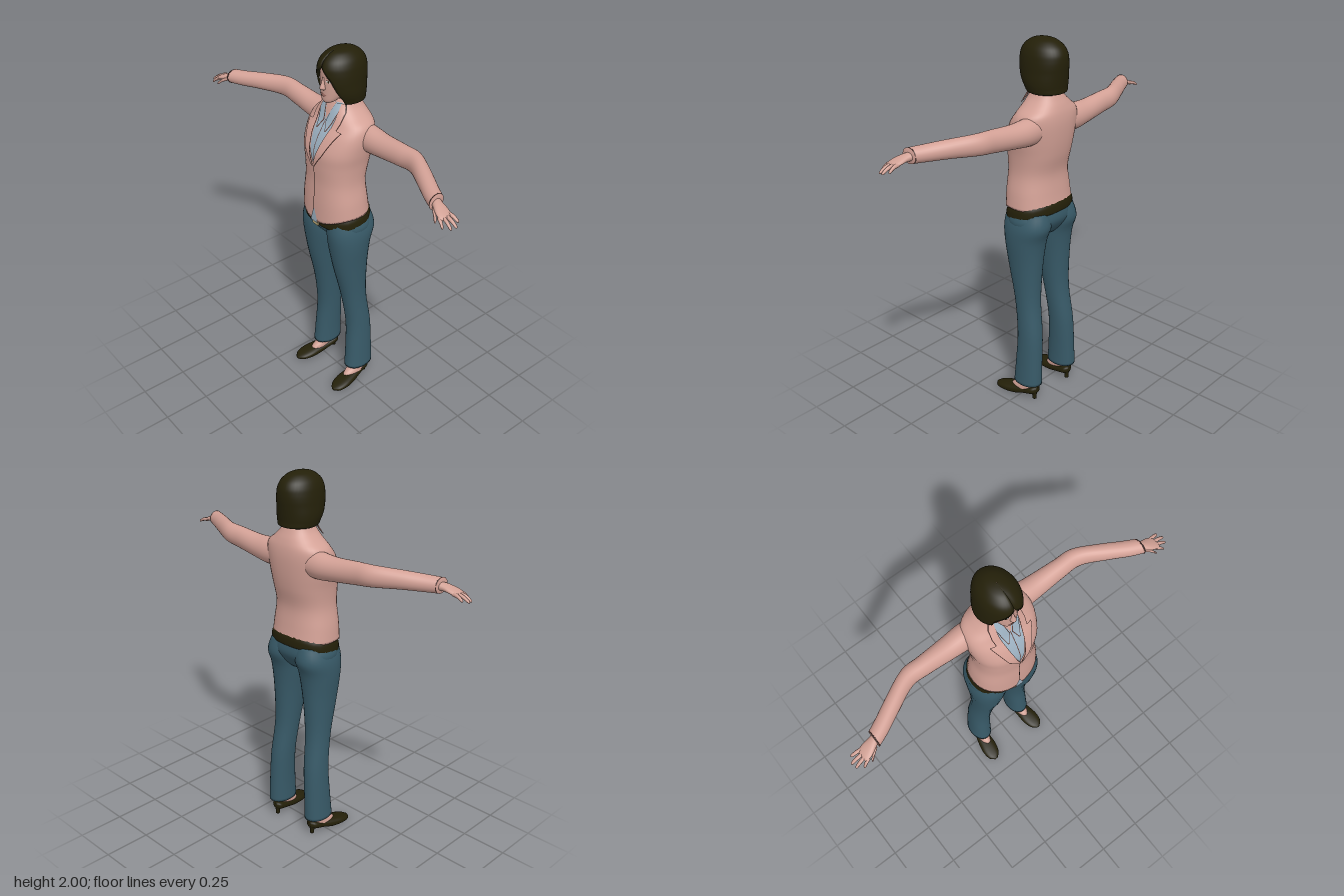
import * as THREE from 'three';

const paint = (name, color, side = THREE.FrontSide) => {
  const m = new THREE.MeshStandardMaterial({ color, side });
  m.name = name;
  return m;
};

// Smooth a short list of cross-sections into a dense one
function densify(rows, steps = 5) {
  const out = [];
  for (let i = 0; i < rows.length - 1; i++) {
    const a = rows[Math.max(0, i - 1)], b = rows[i], c = rows[i + 1], d = rows[Math.min(rows.length - 1, i + 2)];
    for (let s = 0; s < steps; s++) {
      const t = s / steps;
      out.push(b.map((v, k) => {
        const cubic = 3 * (v - c[k]) + d[k] - a[k];
        const square = 2 * a[k] - 5 * v + 4 * c[k] - d[k];
        return v + 0.5 * t * (c[k] - a[k] + t * (square + t * cubic));
      }));
    }
  }
  out.push(rows[rows.length - 1]);
  return out;
}

function build(pos, idx) {
  const g = new THREE.BufferGeometry();
  g.setAttribute('position', new THREE.Float32BufferAttribute(pos, 3));
  g.setIndex(idx);
  g.computeVertexNormals();
  return g;
}

const power = (v, p) => Math.sign(v) * Math.abs(v) ** (2 / p);

// Closed loft; row = [position on axis, centre 1, radius 1, centre 2, radius 2]
function loft(axis, rows, { n = 28, p = 2, bend = null } = {}) {
  const dense = densify(rows), pos = [], idx = [];
  const place = {
    y: (r, c, s) => [r[1] + r[2] * c, r[0], r[3] + r[4] * s],
    x: (r, c, s) => [r[0], r[1] + r[2] * c, r[3] - r[4] * s],
    z: (r, c, s) => [r[1] + r[2] * c, r[3] - r[4] * s, r[0]],
  }[axis];
  dense.forEach((r, i) => {
    for (let j = 0; j < n; j++) {
      const a = j / n * Math.PI * 2;
      const q = place(r, power(Math.cos(a), p), power(Math.sin(a), p));
      if (bend) bend(q, a);
      pos.push(...q);
      if (i < dense.length - 1) {
        const k = i * n + j, m = i * n + (j + 1) % n;
        idx.push(k, k + n, m, m, k + n, m + n);
      }
    }
  });
  const last = (dense.length - 1) * n, lo = dense.length * n;
  pos.push(...place(dense[0], 0, 0), ...place(dense[dense.length - 1], 0, 0));
  for (let j = 0; j < n; j++) {
    const k = (j + 1) % n;
    idx.push(lo, j, k, lo + 1, last + k, last + j);
  }
  return build(pos, idx);
}

// Thin plate lying on the front of an upright loft; row = [y, x from, x to]
function drape(body, p, rows, off) {
  const pos = [], idx = [], nx = 8, steps = 5;
  const lines = [];
  rows.slice(0, -1).forEach((r, i) => {
    for (let s = 0; s < steps; s++) lines.push(r.map((v, k) => v + (rows[i + 1][k] - v) * s / steps));
  });
  lines.push(rows[rows.length - 1]);
  lines.forEach(([y, x0, x1], i) => {
    let k = 0;
    while (k < body.length - 2 && body[k + 1][0] < y) k++;
    const t = THREE.MathUtils.clamp((y - body[k][0]) / (body[k + 1][0] - body[k][0]), 0, 1);
    const r = body[k].map((v, c) => v + (body[k + 1][c] - v) * t);
    for (let j = 0; j <= nx; j++) {
      const x = x0 + (x1 - x0) * j / nx;
      const u = Math.min(1, Math.abs(x) / (r[2] + off));
      pos.push(x, y, r[3] + (r[4] + off) * (1 - u ** p) ** (1 / p));
      if (i < lines.length - 1 && j < nx) {
        const a = i * (nx + 1) + j, b = a + nx + 1;
        idx.push(a, a + 1, b, a + 1, b + 1, b);
      }
    }
  });
  return build(pos, idx);
}

function mirrored(geo) {
  const g = geo.clone().scale(-1, 1, 1), ix = g.index;
  for (let i = 0; i < ix.count; i += 3) {
    const t = ix.getX(i);
    ix.setX(i, ix.getX(i + 1));
    ix.setX(i + 1, t);
  }
  g.computeVertexNormals();
  return g;
}

// Bob of hair, open at the face; row = [y, half width, centre z, half depth, left gap, right gap]
function hairShell(rows, n = 40) {
  const dense = densify(rows), pos = [], idx = [];
  dense.forEach(([y, rx, cz, rz, gl, gr], i) => {
    const from = Math.PI / 2 + Math.max(0, gr), to = Math.PI * 2.5 - Math.max(0, gl);
    for (let j = 0; j <= n; j++) {
      const t = THREE.MathUtils.clamp((j - 1) / (n - 2), 0, 1), a = from + (to - from) * t;
      const s = j === 0 || j === n ? 0.78 : 1;
      pos.push(rx * s * Math.cos(a), y, cz + rz * s * Math.sin(a));
      if (i < dense.length - 1 && j < n) {
        const k = i * (n + 1) + j, m = k + n + 1;
        idx.push(k, m, k + 1, k + 1, m, m + 1);
      }
    }
  });
  return build(pos, idx);
}

export function createModel() {
  const model = new THREE.Group();
  const skin = paint('skin', 0xd0a094), jacket = paint('jacket pink', 0xd3a196), denim = paint('trouser blue', 0x385a68);
  const shirt = paint('shirt blue', 0x9cb0c0), dark = paint('dark brown', 0x242009, THREE.DoubleSide);
  const seam = paint('seam', 0x5e403a), lip = paint('lips', 0xb57c72), white = paint('eye white', 0xd8d6d2), metal = paint('buckle', 0xb8a878);
  const add = (name, geo, mat) => {
    const m = new THREE.Mesh(geo, mat);
    m.name = name;
    model.add(m);
  };
  const both = (name, geo, mat) => {
    add(name + 'Left', geo, mat);
    add(name + 'Right', mirrored(geo), mat);
  };

  // Trousers
  add('trouserSeat', loft('y', [[0.975, 0, 0.09, -0.01, 0.07], [1.01, 0, 0.17, -0.005, 0.105], [1.06, 0, 0.196, -0.007, 0.13],
    [1.11, 0, 0.186, -0.004, 0.132], [1.17, 0, 0.165, 0, 0.12]], { p: 2.3 }), denim);
  both('trouserLeg', loft('y', [[0.1, 0.14, 0.061, -0.04, 0.085], [0.22, 0.136, 0.059, -0.044, 0.079], [0.4, 0.127, 0.06, -0.045, 0.071],
    [0.6, 0.115, 0.064, -0.02, 0.071], [0.8, 0.108, 0.08, 0, 0.095], [0.95, 0.103, 0.098, 0.004, 0.115],
    [1.04, 0.1, 0.099, -0.008, 0.134], [1.12, 0.09, 0.085, -0.006, 0.12]], { p: 2.15 }), denim);

  // Belt, lower at the front
  add('belt', loft('y', [[1.085, 0, 0.187, 0, 0.134], [1.095, 0, 0.191, 0, 0.14], [1.125, 0, 0.188, 0, 0.139], [1.145, 0, 0.18, 0, 0.132]],
    { p: 2.3, bend: (q, a) => { q[1] -= 0.025 * Math.sin(a); } }), dark);
  const buckle = new THREE.BoxGeometry(0.045, 0.035, 0.009);
  buckle.translate(0, 1.08, 0.141);
  add('buckle', buckle, metal);

  // Jacket body, with the hem dipping in front
  const torso = [[1.14, 0, 0.186, 0.006, 0.143], [1.22, 0, 0.178, 0.01, 0.137], [1.32, 0, 0.163, 0.01, 0.131], [1.42, 0, 0.168, 0.001, 0.144],
    [1.5, 0, 0.181, -0.006, 0.149], [1.58, 0, 0.188, -0.025, 0.135], [1.635, 0, 0.176, -0.042, 0.114],
    [1.675, 0, 0.128, -0.045, 0.1], [1.71, 0, 0.092, -0.044, 0.085], [1.75, 0, 0.07, -0.045, 0.065]];
  const tp = 2.3, front = densify(torso);
  add('jacketBody', loft('y', torso, { n: 40, p: tp, bend: (q, a) => {
    q[1] -= 0.05 * Math.max(0, Math.sin(a)) ** 3 * THREE.MathUtils.clamp((1.28 - q[1]) / 0.14, 0, 1);
  } }), jacket);
  add('jacketSeam', drape(front, tp, [[1.16, -0.002, 0.002], [1.42, -0.002, 0.002]], 0.004), seam);
  add('shirtTail', drape(front, tp, [[1.085, -0.028, 0.028], [1.175, 0, 0]], 0.003), shirt);

  // Shirt front, collars and lapels
  add('shirtFront', drape(front, tp, [[1.42, 0, 0], [1.5, -0.027, 0.027], [1.6, -0.052, 0.052], [1.68, -0.064, 0.064], [1.74, -0.06, 0.06]], 0.004), shirt);
  add('shirtPlacket', drape(front, tp, [[1.45, -0.002, 0.002], [1.65, -0.002, 0.002]], 0.006), seam);
  add('neckOpening', drape(front, tp, [[1.65, 0, 0], [1.74, -0.035, 0.035]], 0.007), skin);
  both('shirtCollar', drape(front, tp, [[1.61, 0.03, 0.034], [1.65, 0.01, 0.048], [1.7, 0.022, 0.062], [1.74, 0.035, 0.062]], 0.012), shirt);
  both('shirtCollarEdge', drape(front, tp, [[1.604, 0.028, 0.036], [1.647, 0.006, 0.051], [1.7, 0.019, 0.064], [1.738, 0.032, 0.064]], 0.009), seam);
  const lapel = [[1.42, 0.001, 0.008], [1.5, 0.026, 0.062], [1.58, 0.047, 0.097], [1.622, 0.056, 0.118],
    [1.626, 0.057, 0.088], [1.66, 0.062, 0.094], [1.7, 0.064, 0.09], [1.74, 0.06, 0.072]];
  both('lapel', drape(front, tp, lapel, 0.013), jacket);
  both('lapelEdge', drape(front, tp, lapel.map(([y, a, b]) => [y - 0.002, a - 0.002, b + 0.003]), 0.01), seam);

  // Sleeves
  both('sleeve', loft('x', [[0.1, 1.57, 0.07, -0.07, 0.06], [0.18, 1.567, 0.069, -0.07, 0.062], [0.27, 1.57, 0.061, -0.068, 0.056],
    [0.4, 1.583, 0.057, -0.064, 0.047], [0.5, 1.591, 0.053, -0.058, 0.045], [0.62, 1.59, 0.046, 0, 0.046],
    [0.72, 1.585, 0.041, 0.053, 0.045], [0.785, 1.583, 0.038, 0.083, 0.042]]), jacket);
  both('cuffEdge', loft('x', [[0.779, 1.583, 0.039, 0.081, 0.043], [0.783, 1.583, 0.039, 0.083, 0.043]]), seam);

  // Hands
  both('palm', loft('x', [[0.76, 1.582, 0.022, 0.073, 0.024], [0.8, 1.577, 0.019, 0.09, 0.028], [0.835, 1.568, 0.015, 0.1, 0.036],
    [0.865, 1.558, 0.011, 0.106, 0.034], [0.875, 1.555, 0.004, 0.107, 0.025]], { n: 18 }), skin);
  const fingers = [[0.85, 1.558, 0.132, 0.893, 1.528, 0.148], [0.858, 1.558, 0.116, 0.923, 1.528, 0.126],
    [0.858, 1.558, 0.098, 0.93, 1.532, 0.1], [0.85, 1.56, 0.08, 0.912, 1.54, 0.072], [0.795, 1.57, 0.11, 0.848, 1.534, 0.148]];
  fingers.forEach(([x, y, z, X, Y, Z], i) => {
    const at = (t, r) => [x + (X - x) * t, y + (Y - y) * t + 0.006 * Math.sin(Math.PI * t), r, z + (Z - z) * t, r];
    both(i < 4 ? 'finger' + (i + 1) : 'thumb', loft('x', [at(0, 0.01), at(0.5, 0.009), at(0.9, 0.007), at(1, 0.002)], { n: 10 }), skin);
  });

  // Feet and heeled shoes
  both('foot', loft('y', [[0.03, 0.149, 0.034, 0.01, 0.074], [0.06, 0.146, 0.033, -0.01, 0.068], [0.085, 0.142, 0.033, -0.03, 0.054],
    [0.13, 0.14, 0.033, -0.04, 0.045]]), skin);
  both('shoe', loft('z', [[-0.106, 0.135, 0.014, 0.06, 0.014], [-0.085, 0.137, 0.035, 0.056, 0.023], [-0.03, 0.143, 0.038, 0.042, 0.023],
    [0.03, 0.153, 0.044, 0.029, 0.027], [0.09, 0.16, 0.048, 0.023, 0.023], [0.14, 0.165, 0.036, 0.017, 0.016],
    [0.165, 0.166, 0.01, 0.013, 0.007]], { p: 2.4 }), dark);
  both('heel', loft('y', [[0, 0.137, 0.011, -0.085, 0.011], [0.025, 0.137, 0.013, -0.084, 0.013], [0.055, 0.137, 0.028, -0.078, 0.026]], { n: 14 }), dark);

  // Neck and head
  add('neck', loft('y', [[1.66, 0, 0.056, -0.045, 0.05], [1.72, 0, 0.046, -0.035, 0.047], [1.8, 0, 0.047, -0.025, 0.05]]), skin);
  const head = [[1.742, 0, 0.02, 0.058, 0.018], [1.757, 0, 0.041, 0.045, 0.038], [1.79, 0, 0.06, 0.02, 0.064], [1.83, 0, 0.073, 0, 0.084],
    [1.87, 0, 0.077, -0.01, 0.094], [1.92, 0, 0.075, -0.015, 0.098], [1.96, 0, 0.055, -0.02, 0.075]];
  const face = densify(head);
  add('head', loft('y', head, { n: 32, p: 2.1 }), skin);
  add('nose', loft('y', [[1.812, 0, 0.01, 0.082, 0.011], [1.822, 0, 0.015, 0.084, 0.02], [1.845, 0, 0.009, 0.082, 0.014],
    [1.875, 0, 0.006, 0.079, 0.007]], { n: 14 }), skin);
  add('lips', drape(face, 2.1, [[1.779, -0.01, 0.01], [1.785, -0.02, 0.02], [1.788, -0.024, 0.024], [1.795, -0.01, 0.01]], 0.004), lip);
  add('mouthLine', drape(face, 2.1, [[1.7865, -0.021, 0.021], [1.7875, -0.021, 0.021]], 0.006), seam);
  both('eyeLid', drape(face, 2.1, [[1.856, 0.026, 0.044], [1.862, 0.019, 0.052], [1.869, 0.024, 0.048]], 0.002), seam);
  both('eyeWhite', drape(face, 2.1, [[1.857, 0.028, 0.042], [1.861, 0.021, 0.049], [1.866, 0.026, 0.045]], 0.004), white);
  both('iris', drape(face, 2.1, [[1.857, 0.033, 0.038], [1.861, 0.031, 0.04], [1.866, 0.033, 0.038]], 0.006), dark);
  both('eyebrow', drape(face, 2.1, [[1.878, 0.02, 0.05], [1.882, 0.024, 0.05]], 0.003), seam);

  // Hair, swept across from a parting
  add('hair', hairShell([[1.755, 0.05, -0.05, 0.06, 0.9, 0.9], [1.737, 0.096, -0.05, 0.096, 0.9, 0.9], [1.765, 0.108, -0.042, 0.108, 0.85, 0.85],
    [1.8, 0.112, -0.034, 0.12, 0.75, 0.85], [1.84, 0.11, -0.03, 0.128, 0.64, 0.82], [1.87, 0.108, -0.03, 0.131, 0.52, 0.65],
    [1.9, 0.104, -0.03, 0.131, 0.3, 0.32], [1.93, 0.097, -0.03, 0.126, 0.05, 0.03], [1.96, 0.082, -0.03, 0.108, 0, 0],
    [1.985, 0.055, -0.03, 0.074, 0, 0], [1.996, 0.028, -0.03, 0.04, 0, 0], [2, 0.001, -0.03, 0.001, 0, 0]]), dark);
  return model;
}
